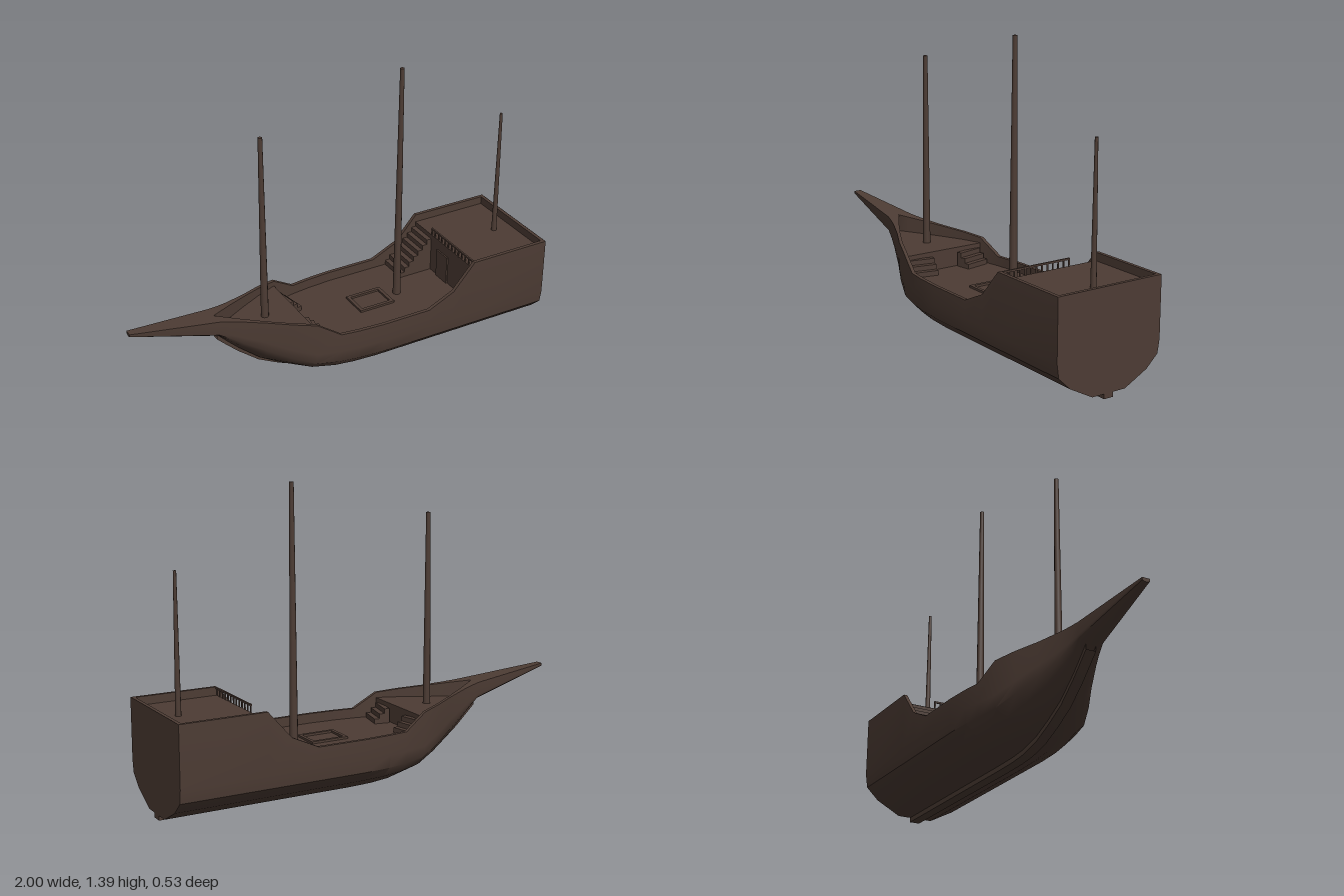
import * as THREE from 'three';
import { toCreasedNormals } from 'three/addons/utils/BufferGeometryUtils.js';

const MAIN = 0.245, FORE = 0.335, POOP = 0.437, WALL = 0.017;

// Hull stations: x, half width, bottom, side break, rail height (bow is at -x)
const stations = [
  [-1, 0.018, 0.438, 0.446, 0.455],
  [-0.6, 0.06, 0.325, 0.357, 0.415],
  [-0.55, 0.073, 0.277, 0.337, 0.408],
  [-0.5, 0.09, 0.23, 0.316, 0.401],
  [-0.4, 0.132, 0.15, 0.28, 0.387],
  [-0.3, 0.182, 0.098, 0.238, 0.374],
  [-0.2, 0.222, 0.056, 0.202, 0.36],
  [-0.09, 0.245, 0.032, 0.2, 0.29],
  [0, 0.257, 0.025, 0.2, 0.29],
  [0.12, 0.265, 0.023, 0.2, 0.29],
  [0.36, 0.265, 0.023, 0.2, 0.29],
  [0.49, 0.265, 0.023, 0.2, 0.35],
  [0.6, 0.265, 0.023, 0.2, 0.475],
  [1, 0.265, 0.023, 0.2, 0.475],
];

const innerWidth = ([x, w]) => Math.max(0, Math.min(w - WALL, (x + 0.6) * 0.6));

// Skin a list of equal-length cross-sections
function loft(rings, closeLast) {
  const pos = [];
  for (let i = 0; i < rings.length - 1; i++) {
    for (let j = 0; j < rings[i].length - 1; j++) {
      const a = rings[i][j], b = rings[i + 1][j], c = rings[i][j + 1], d = rings[i + 1][j + 1];
      pos.push(...a, ...c, ...b, ...b, ...c, ...d);
    }
  }
  const fan = (r, flip) => {
    for (let j = 1; j < r.length - 1; j++) {
      pos.push(...r[0], ...(flip ? r[j + 1] : r[j]), ...(flip ? r[j] : r[j + 1]));
    }
  };
  if (closeLast) {
    fan(rings[0].slice(2, -2), true);
    fan(rings[rings.length - 1].slice(2, -2), false);
  }
  const g = new THREE.BufferGeometry();
  g.setAttribute('position', new THREE.Float32BufferAttribute(pos, 3));
  return toCreasedNormals(g, 0.65);
}

// Full hull section: inner bulwark, rail cap, outer side, bilge, then mirrored
function hullRing(st) {
  const [x, w, b, s, top] = st, iw = innerWidth(st);
  const floor = x < -0.6 ? top : x < -0.2 ? FORE : MAIN - 0.005;
  const h = s - b;
  const half = [
    [iw, floor], [iw, top], [w, top], [w, s],
    [w * 0.965, b + h * 0.65], [w * 0.75, b + h * 0.34], [w * 0.32, b],
  ];
  return [
    ...half.map(([z, y]) => [x, y, z]),
    ...half.slice().reverse().map(([z, y]) => [x, y, -z]),
  ];
}

export function createModel() {
  const ship = new THREE.Group();
  ship.name = 'sailingShip';
  const wood = new THREE.MeshStandardMaterial({ color: 0x4d3c34, side: THREE.DoubleSide });
  wood.name = 'dark wood';

  const add = (name, geometry, parent = ship) => {
    const m = new THREE.Mesh(geometry, wood);
    m.name = name;
    parent.add(m);
    return m;
  };
  // Box given by its minimum and maximum corners
  const box = (name, x0, x1, y0, y1, z0, z1, parent) => {
    const m = add(name, new THREE.BoxGeometry(x1 - x0, y1 - y0, z1 - z0), parent);
    m.position.set((x0 + x1) / 2, (y0 + y1) / 2, (z0 + z1) / 2);
    return m;
  };
  const group = (name) => {
    const g = new THREE.Group();
    g.name = name;
    ship.add(g);
    return g;
  };

  // Hull with bowsprit and bulwarks
  add('hull', loft(stations.map(hullRing), true));
  box('sternBulwark', 1 - WALL, 0.999, 0.4, 0.475, -0.248, 0.248);

  // Keel following the bottom
  const keelRings = stations.slice(1).map(([x, , b]) => {
    const y = b - 0.022;
    return [[x, b + 0.01, 0.024], [x, y, 0.024], [x, y, -0.024], [x, b + 0.01, -0.024]];
  });
  add('keel', loft(keelRings));
  box('keelEnd', 0.99, 1, 0.001, 0.03, -0.024, 0.024);

  // Decks and the bulkheads between them
  const deck = (name, x0, x1, y) => {
    const rings = stations.filter(([x]) => x >= x0 && x <= x1)
      .map((st) => [[st[0], y, -innerWidth(st)], [st[0], y, innerWidth(st)]]);
    add(name, loft(rings));
  };
  deck('foredeck', -0.6, -0.2, FORE);
  deck('mainDeck', -0.2, 0.6, MAIN);
  deck('poopDeck', 0.6, 1, POOP);
  box('foreBulkhead', -0.21, -0.2, MAIN - 0.01, FORE - 0.001, -0.205, 0.205);
  box('poopBulkhead', 0.6, 0.61, MAIN - 0.01, POOP - 0.001, -0.25, 0.25);
  box('cabinDoor', 0.593, 0.601, MAIN, MAIN + 0.14, -0.045, 0.045);

  // Masts: x, deck height, top height, base radius, top radius
  [
    ['foreMast', -0.35, FORE, 1.225, 0.018, 0.01],
    ['mainMast', 0.345, MAIN, 1.395, 0.019, 0.01],
    ['mizzenMast', 0.89, POOP, 1.055, 0.013, 0.007],
  ].forEach(([name, x, y0, y1, r0, r1]) => {
    const m = add(name, new THREE.CylinderGeometry(r1, r0, y1 - y0, 10));
    m.position.set(x, (y0 + y1) / 2, 0);
  });

  // Stairs up to the poop
  const poopStairs = group('poopStairs');
  const steps = 7, run = 0.17 / steps, rise = (POOP - MAIN) / (steps + 1);
  for (let i = 0; i < steps; i++) {
    const x = 0.43 + i * run;
    box('step', x, x + run, MAIN, MAIN + (i + 1) * rise, -0.246, -0.105, poopStairs);
  }

  // Pair of short stairs up to the foredeck, turned to follow the hull
  for (const side of [1, -1]) {
    const stairs = group(side > 0 ? 'foreStairsLeft' : 'foreStairsRight');
    stairs.position.set(-0.203, MAIN, side * 0.131);
    stairs.rotation.y = -side * 0.2;
    for (let i = 0; i < 3; i++) {
      box('step', i * 0.024, (i + 1) * 0.024, 0, 0.068 - i * 0.0225, -0.063, 0.063, stairs);
    }
  }

  // Railing at the front edge of the poop
  const railing = group('poopRailing');
  box('handrail', 0.598, 0.606, 0.466, 0.474, -0.105, 0.248, railing);
  for (let i = 0; i <= 12; i++) {
    const z = -0.102 + i * 0.0285;
    box('baluster', 0.5995, 0.6045, POOP - 0.005, 0.468, z - 0.003, z + 0.003, railing);
  }

  // Hatch frame on the main deck
  const hatch = group('hatchFrame');
  for (const s of [-1, 1]) {
    box('hatchSide', 0.11, 0.29, MAIN, MAIN + 0.01, s * 0.062 - 0.008, s * 0.062 + 0.008, hatch);
    box('hatchEnd', 0.2 + s * 0.082 - 0.008, 0.2 + s * 0.082 + 0.008, MAIN, MAIN + 0.01, -0.054, 0.054, hatch);
  }
  return ship;
}
